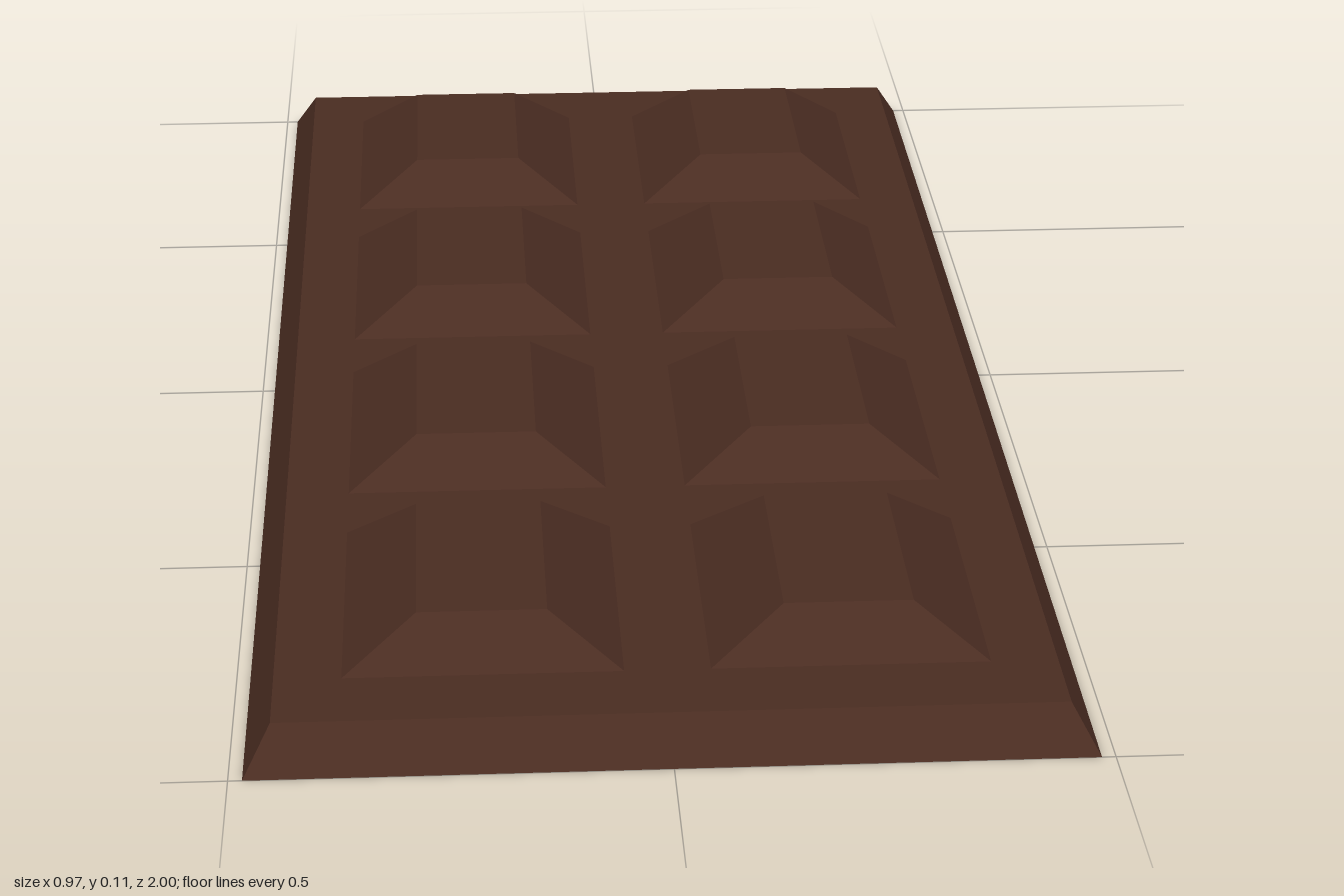
import * as THREE from 'three';

// Box whose top face is narrower than its bottom, standing on y = 0
function taperedBlock(bottomX, bottomZ, topX, topZ, height) {
  const geometry = new THREE.BoxGeometry(bottomX, height, bottomZ);
  geometry.translate(0, height / 2, 0);
  const p = geometry.attributes.position;
  for (let i = 0; i < p.count; i++) {
    if (p.getY(i) > height / 2) {
      p.setX(i, Math.sign(p.getX(i)) * topX / 2);
      p.setZ(i, Math.sign(p.getZ(i)) * topZ / 2);
    }
  }
  geometry.computeVertexNormals();
  return geometry;
}

export function createModel() {
  const group = new THREE.Group();
  group.name = 'chocolateBar';
  const chocolate = new THREE.MeshStandardMaterial({ color: 0x4b2d22 });
  chocolate.name = 'dark chocolate';

  // Slab with bevelled rim
  const slabHeight = 0.054;
  const slab = new THREE.Mesh(taperedBlock(0.968, 2, 0.904, 1.934, slabHeight), chocolate);
  slab.name = 'slab';
  group.add(slab);

  // Two columns of four raised pieces
  const pieceGeometry = taperedBlock(0.324, 0.354, 0.151, 0.269, 0.06);
  for (let row = 0; row < 4; row++) {
    for (const side of [-1, 1]) {
      const piece = new THREE.Mesh(pieceGeometry, chocolate);
      piece.name = `${side > 0 ? 'left' : 'right'}Piece${row + 1}`;
      piece.position.set(side * 0.212, slabHeight, 0.007 + (row - 1.5) * 0.459);
      group.add(piece);
    }
  }
  return group;
}
